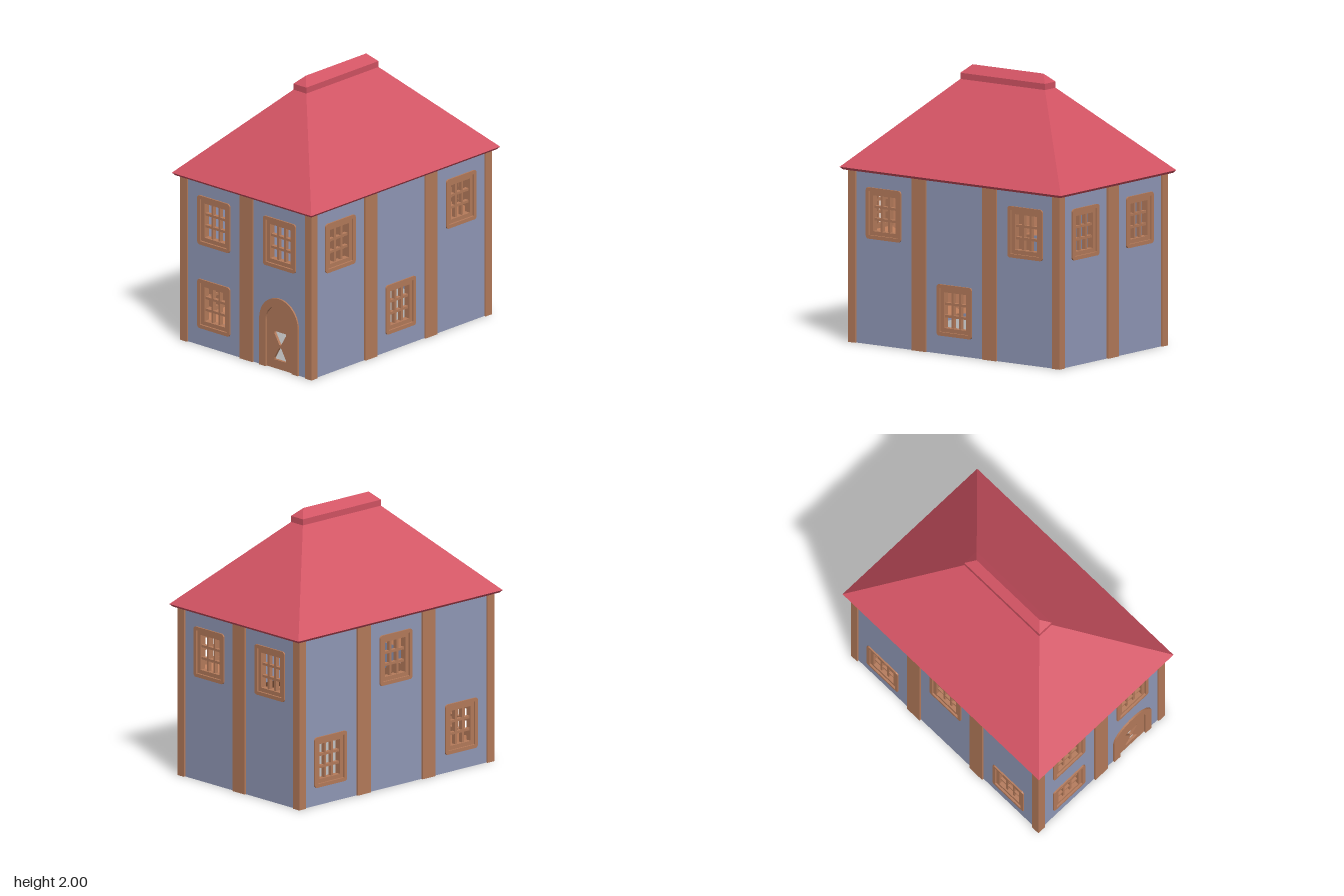
import * as THREE from 'three';

const material = (name, color, side = THREE.FrontSide) => {
  const m = new THREE.MeshStandardMaterial({ color, side });
  m.name = name;
  return m;
};

// Hollow loft through rectangles [halfX, halfY, z], flat shaded
function loft(rings, capped) {
  const pts = [];
  const corners = ([x, y, z]) => [[-x, -y, z], [x, -y, z], [x, y, z], [-x, y, z]].map(p => new THREE.Vector3(...p));
  const tri = (a, b, c) => {
    if (a.equals(b) || b.equals(c) || c.equals(a)) return;
    for (const p of [a, b, c]) pts.push(p.x, p.y, p.z);
  };
  const quad = (a, b, c, d) => { tri(a, b, c); tri(a, c, d); };
  for (let r = 0; r < rings.length - 1; r++) {
    const lo = corners(rings[r]), hi = corners(rings[r + 1]);
    for (let i = 0; i < 4; i++) {
      const j = (i + 1) % 4;
      quad(lo[i], lo[j], hi[j], hi[i]);
    }
  }
  if (capped) quad(...corners(rings[0]).reverse());
  const g = new THREE.BufferGeometry();
  g.setAttribute('position', new THREE.Float32BufferAttribute(pts, 3));
  g.computeVertexNormals();
  return g;
}

const poly = (points, Type = THREE.Shape) => new Type(points.map(p => new THREE.Vector2(...p)));
const rectPoints = (cx, cy, hx, hy) => [[cx - hx, cy - hy], [cx + hx, cy - hy], [cx + hx, cy + hy], [cx - hx, cy + hy]];

function roundedRect(hx, hy, r) {
  const s = new THREE.Shape();
  s.absarc(hx - r, hy - r, r, 0, Math.PI / 2);
  s.absarc(-hx + r, hy - r, r, Math.PI / 2, Math.PI);
  s.absarc(-hx + r, -hy + r, r, Math.PI, Math.PI * 1.5);
  s.absarc(hx - r, -hy + r, r, Math.PI * 1.5, Math.PI * 2);
  return s;
}

// Extrusion spanning z from back to front
function slab(shape, back, front) {
  const g = new THREE.ExtrudeGeometry(shape, { depth: front - back, bevelEnabled: false, curveSegments: 14 });
  return g.translate(0, 0, back);
}

const ARCH_Y = 0.355, FRAME_R = 0.188, DOOR_R = 0.128, DOOR_X = 0.317;
const WALL_H = 1.262, HX = 0.64, HZ = 0.955, INSET = 0.014;

export function createModel() {
  const root = new THREE.Group();
  root.name = 'house';
  const wallMat = material('wallBlue', 0x9199b8);
  const woodMat = material('woodBrown', 0xb57b5b);
  const revealMat = material('revealBrown', 0xb87a58, THREE.DoubleSide);
  const roofMat = material('roofRed', 0xd25363);

  const add = (parent, name, geometry, mat) => {
    const mesh = new THREE.Mesh(geometry, mat);
    mesh.name = name;
    parent.add(mesh);
    return mesh;
  };

  // Window parts shared by every opening
  const rimShape = roundedRect(0.157, 0.187, 0.022);
  rimShape.holes.push(poly(rectPoints(0, 0, 0.13, 0.16), THREE.Path));
  const rimGeo = slab(rimShape, -0.02, 0.011);
  const sashShape = poly(rectPoints(0, 0, 0.132, 0.162));
  sashShape.holes.push(poly(rectPoints(0, 0, 0.1, 0.13), THREE.Path));
  const sashGeo = slab(sashShape, -0.05, -0.003);
  const uprightGeo = new THREE.BoxGeometry(0.018, 0.262, 0.03);
  const crossbarGeo = new THREE.BoxGeometry(0.202, 0.018, 0.03);
  const revealGeo = loft([[0.225, 0.255, -0.12], [0.13, 0.16, -0.015]], false);

  function addWindow(parent, x, y) {
    const w = new THREE.Group();
    w.name = 'window';
    w.position.set(x, y, 0);
    add(w, 'windowRim', rimGeo, woodMat);
    add(w, 'windowSash', sashGeo, woodMat);
    add(w, 'windowReveal', revealGeo, revealMat);
    for (const s of [-1, 1]) {
      add(w, 'windowUpright', uprightGeo, woodMat).position.set(s * 0.034, 0, -0.03);
      add(w, 'windowCrossbar', crossbarGeo, woodMat).position.set(0, s * 0.045, -0.03);
    }
    parent.add(w);
  }

  // Arched door with two cut-out triangles
  function addDoor(parent) {
    const door = new THREE.Group();
    door.name = 'door';
    door.position.x = DOOR_X;
    const frame = new THREE.Shape();
    frame.moveTo(FRAME_R, 0);
    frame.lineTo(FRAME_R, ARCH_Y);
    frame.absarc(0, ARCH_Y, FRAME_R, 0, Math.PI, false);
    frame.lineTo(-FRAME_R, 0);
    frame.lineTo(-DOOR_R, 0);
    frame.lineTo(-DOOR_R, ARCH_Y);
    frame.absarc(0, ARCH_Y, DOOR_R, Math.PI, 0, true);
    frame.lineTo(DOOR_R, 0);
    add(door, 'doorFrame', slab(frame, -0.03, 0.013), woodMat);
    const leaf = new THREE.Shape();
    leaf.moveTo(DOOR_R, 0);
    leaf.lineTo(DOOR_R, ARCH_Y);
    leaf.absarc(0, ARCH_Y, DOOR_R, 0, Math.PI, false);
    leaf.lineTo(-DOOR_R, 0);
    const cut = (base, tip) => poly([[-0.057, base], [0.057, base], [0.057, base + (tip - base) * 0.15],
      [0.008, tip], [-0.008, tip], [-0.057, base + (tip - base) * 0.15]], THREE.Path);
    leaf.holes.push(cut(0.066, 0.165), cut(0.282, 0.185));
    add(door, 'doorLeaf', slab(leaf, -0.025, -0.005), woodMat);
    parent.add(door);
  }

  // One side of the house, built facing +z
  function addSide({ name, angle, distance, halfWidth, posts, windows, hasDoor }) {
    const side = new THREE.Group();
    side.name = name;
    const s = new THREE.Shape();
    s.moveTo(-halfWidth, 0);
    if (hasDoor) {
      const r = FRAME_R - 0.02;
      s.lineTo(DOOR_X - r, 0);
      s.lineTo(DOOR_X - r, ARCH_Y);
      s.absarc(DOOR_X, ARCH_Y, r, Math.PI, 0, true);
      s.lineTo(DOOR_X + r, 0);
      addDoor(side);
    }
    s.lineTo(halfWidth, 0);
    s.lineTo(halfWidth, WALL_H);
    s.lineTo(-halfWidth, WALL_H);
    for (const [x, y] of windows) {
      s.holes.push(poly(rectPoints(x, y, 0.14, 0.17), THREE.Path));
      addWindow(side, x, y);
    }
    add(side, 'wall', slab(s, -0.016, 0), wallMat);
    for (const x of posts) {
      add(side, 'wallPost', new THREE.BoxGeometry(0.127, WALL_H, 0.036), woodMat)
        .position.set(x, WALL_H / 2, INSET - 0.018);
    }
    side.rotation.y = angle;
    side.position.set(Math.sin(angle) * distance, 0, Math.cos(angle) * distance);
    root.add(side);
  }

  const UP = 0.957, LOW = 0.32;
  const ends = { distance: HZ - INSET, halfWidth: HX - 0.02, posts: [0] };
  const flanks = { distance: HX - INSET, halfWidth: HZ - 0.02, posts: [-0.318, 0.318] };
  addSide({ ...ends, name: 'frontSide', angle: 0, windows: [[-0.32, UP], [0.32, UP], [-0.32, LOW]], hasDoor: true });
  addSide({ ...ends, name: 'backSide', angle: Math.PI, windows: [[-0.32, UP], [0.32, UP]] });
  addSide({ ...flanks, name: 'leftSide', angle: Math.PI / 2, windows: [[-0.64, UP], [0.64, UP], [0, LOW]] });
  addSide({ ...flanks, name: 'rightSide', angle: -Math.PI / 2, windows: [[-0.64, LOW], [0.64, LOW], [0, UP]] });

  // L-shaped corner posts
  const W = 0.065, T = 0.034;
  for (const sx of [-1, 1]) for (const sz of [-1, 1]) {
    const pts = [[0, 0], [W, 0], [W, T], [T, T], [T, W], [0, W]]
      .map(([u, v]) => [sx * (HX - u), sz * (HZ - v)]);
    const g = slab(poly(pts), 0, WALL_H).rotateX(-Math.PI / 2);
    add(root, 'cornerPost', g, woodMat);
  }

  // Hipped roof with eave, and ridge cap
  const roof = loft([[0.663, 0.983, 1.256], [0.68, 1, 1.275], [0.0625, 0.3825, 1.895]], true);
  add(root, 'roof', roof.rotateX(-Math.PI / 2), roofMat);
  const cap = loft([[0.0625, 0.3825, 1.893], [0.0625, 0.3825, 1.94], [0, 0.32, 2]], false);
  add(root, 'ridgeCap', cap.rotateX(-Math.PI / 2), roofMat);

  return root;
}
